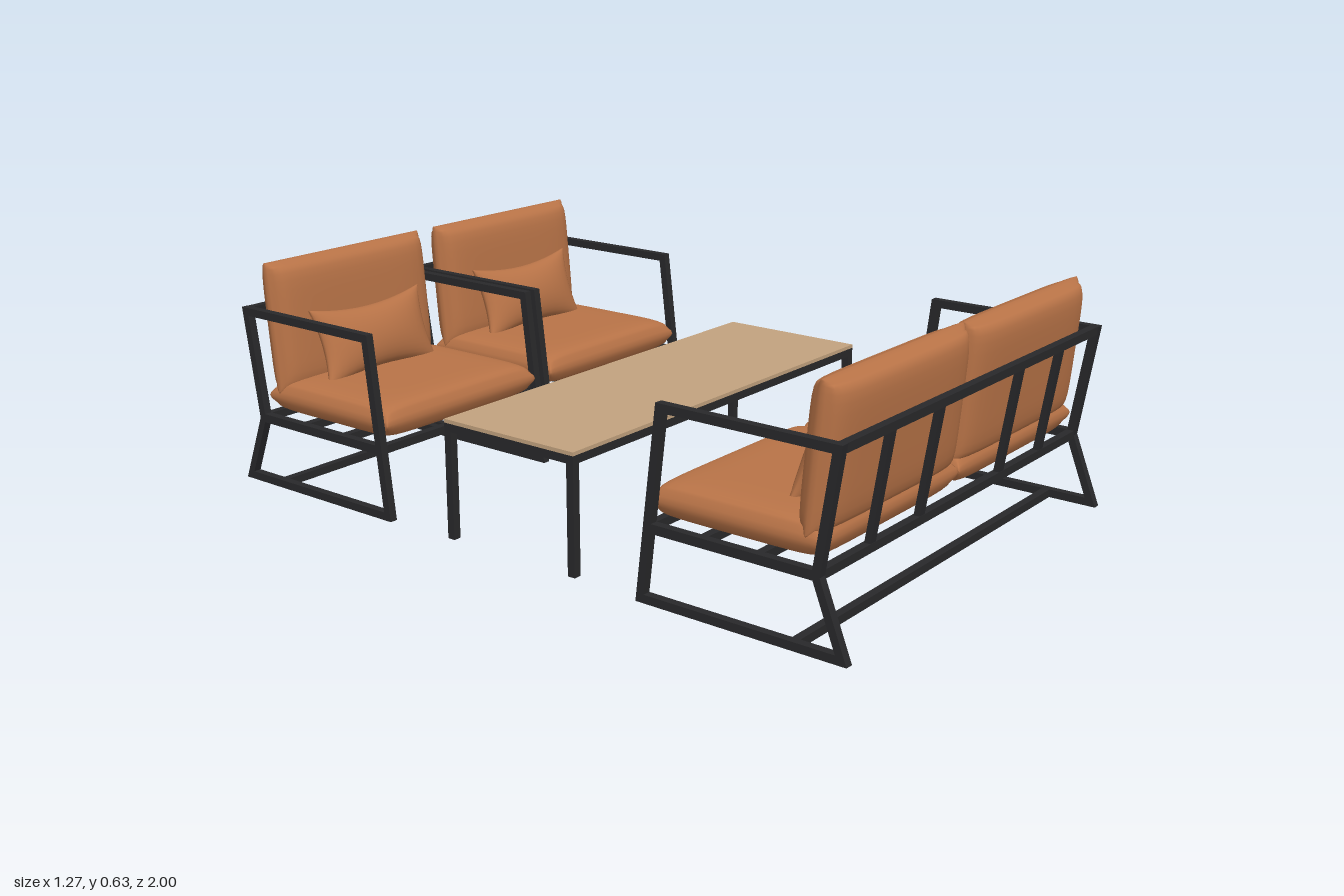
import * as THREE from 'three';
import { mergeVertices } from 'three/addons/utils/BufferGeometryUtils.js';

const T = 0.022; // steel bar thickness
const W = 0.635; // half width of the whole set

const mat = (name, color) => {
  const m = new THREE.MeshStandardMaterial({ color });
  m.name = name;
  return m;
};

function add(parent, name, geometry, material, x = 0, y = 0, z = 0) {
  const mesh = new THREE.Mesh(geometry, material);
  mesh.name = name;
  mesh.position.set(x, y, z);
  parent.add(mesh);
  return mesh;
}

// Smooth block: each point of a [-1,1] cube is placed by a rule
function softBlock(rule) {
  const box = new THREE.BoxGeometry(2, 2, 2, 16, 16, 4);
  box.deleteAttribute('normal');
  box.deleteAttribute('uv');
  const geo = mergeVertices(box);
  const p = geo.attributes.position;
  for (let i = 0; i < p.count; i++) {
    const u = Math.sin(p.getX(i) * Math.PI / 2);
    const v = Math.sin(p.getY(i) * Math.PI / 2);
    p.setXYZ(i, ...rule(u, v, p.getZ(i)));
  }
  geo.computeVertexNormals();
  return geo;
}

// Puffed rectangular cushion, thinner and rounded at its rim
function cushion(w, h, d, rim) {
  const puff = t => rim + (1 - rim) * Math.sqrt(Math.max(0, 1 - t ** 6));
  const pull = (t, s) => Math.sign(t) * 0.012 * s * s * t ** 8;
  return softBlock((u, v, s) => [
    w / 2 * u - pull(u, s), h / 2 * v - pull(v, s), d / 2 * s * puff(u) * puff(v)]);
}

// Throw pillow with pointed corners and hollow sides
function pillow(w, h, d) {
  const thin = t => Math.sqrt(Math.max(0, 1 - t * t));
  return softBlock((u, v, s) => [
    w / 2 * u * (1 - 0.1 * (1 - v * v)),
    h / 2 * v * (1 - 0.22 * (1 - u * u)),
    d / 2 * s * (0.06 + 0.94 * thin(u) * thin(v))]);
}

// Slanted front and back edges of the side frame, as z at height y
const frontZ = y => -0.415 - 0.12 * y;
const backZ = y => (y < 0.19 ? -1 + 0.395 * y : -0.925 - 0.155 * (y - 0.19));

// Side frame: leg loop below the seat rail, arm loop above it
function sideFrame() {
  const points = list => list.map(([z, y]) => new THREE.Vector2(z, y));
  const shape = new THREE.Shape(points([
    [backZ(0), 0], [frontZ(0), 0], [frontZ(0.5), 0.5], [backZ(0.5), 0.5], [backZ(0.19), 0.19]]));
  for (const [y0, y1] of [[T, 0.18], [0.204, 0.5 - T]]) {
    shape.holes.push(new THREE.Path(points([
      [backZ(y0) + T, y0], [backZ(y1) + T, y1], [frontZ(y1) - T, y1], [frontZ(y0) - T, y0]])));
  }
  const geo = new THREE.ExtrudeGeometry(shape, { depth: T, bevelEnabled: false });
  return geo.translate(0, 0, -T / 2).rotateY(-Math.PI / 2);
}

// Seat facing +z; places lists the x centre of each cushion set
function makeSeat(name, halfWidth, cushionWidth, places, steel, leather) {
  const seat = new THREE.Group();
  seat.name = name;

  const side = sideFrame();
  for (const s of [-1, 1]) add(seat, 'sideFrame', side, steel, s * (halfWidth - T / 2), 0, 0);

  // Cross rails: top of the back, base, and the slats under the seat
  const rail = new THREE.BoxGeometry(2 * halfWidth - 2 * T, T, T);
  add(seat, 'backTopRail', rail, steel, 0, 0.5 - T / 2, backZ(0.489) + T / 2);
  add(seat, 'baseRail', rail, steel, 0, T / 2, -0.855);
  for (const z of [-0.45, -0.6, -0.755, -0.914]) add(seat, 'seatRail', rail, steel, 0, 0.192, z);

  // Back slats leaning with the frame
  const slat = new THREE.BoxGeometry(0.024, 0.295, 0.016);
  const seatCushion = cushion(cushionWidth, 0.47, 0.1, 0.6).rotateX(-Math.PI / 2);
  const backCushion = cushion(cushionWidth, 0.365, 0.105, 0.42);
  const throwPillow = pillow(0.41, 0.22, 0.1);
  for (const x of places) {
    for (const s of [-1, 1]) {
      add(seat, 'backSlat', slat, steel, x + s * 0.109, 0.338, backZ(0.338) + T / 2)
        .rotation.x = -0.154;
    }
    add(seat, 'seatCushion', seatCushion, leather, x, 0.253, -0.675);
    add(seat, 'backCushion', backCushion, leather, x, 0.445, -0.886).rotation.x = -0.09;
    add(seat, 'throwPillow', throwPillow, leather, x, 0.385, -0.79).rotation.x = -0.32;
  }
  return seat;
}

function makeTable(steel, wood) {
  const table = new THREE.Group();
  table.name = 'coffeeTable';
  const hx = 0.622, hz = 0.215, top = 0.313;
  add(table, 'tableTop', new THREE.BoxGeometry(2 * hx, 0.01, 2 * hz), wood, 0, top + 0.005, 0);
  const leg = new THREE.BoxGeometry(T, top - T, T);
  const longRail = new THREE.BoxGeometry(2 * hx, T, T);
  const crossRail = new THREE.BoxGeometry(T, T, 2 * hz - 2 * T);
  for (const s of [-1, 1]) {
    add(table, 'longRail', longRail, steel, 0, top - T / 2, s * (hz - T / 2));
    for (const x of [hx - T / 2, 0.207]) add(table, 'crossRail', crossRail, steel, s * x, top - T / 2, 0);
    for (const t of [-1, 1]) {
      add(table, 'leg', leg, steel, s * (hx - T / 2), (top - T) / 2, t * (hz - T / 2));
    }
  }
  return table;
}

export function createModel() {
  const steel = mat('blackSteel', 0x28282a);
  const leather = mat('tanLeather', 0xb87347);
  const wood = mat('paleWood', 0xc2a27e);
  const model = new THREE.Group();
  model.name = 'loungeSet';

  // Two armchairs at the back, facing the table
  for (const s of [-1, 1]) {
    const chair = makeSeat('armchair', 0.3135, 0.575, [0], steel, leather);
    chair.position.x = s * (W - 0.3135);
    model.add(chair);
  }

  // Two-seat sofa opposite them
  const sofa = makeSeat('sofa', W, 0.61, [-0.306, 0.306], steel, leather);
  sofa.rotation.y = Math.PI;
  model.add(sofa);

  model.add(makeTable(steel, wood));
  return model;
}
